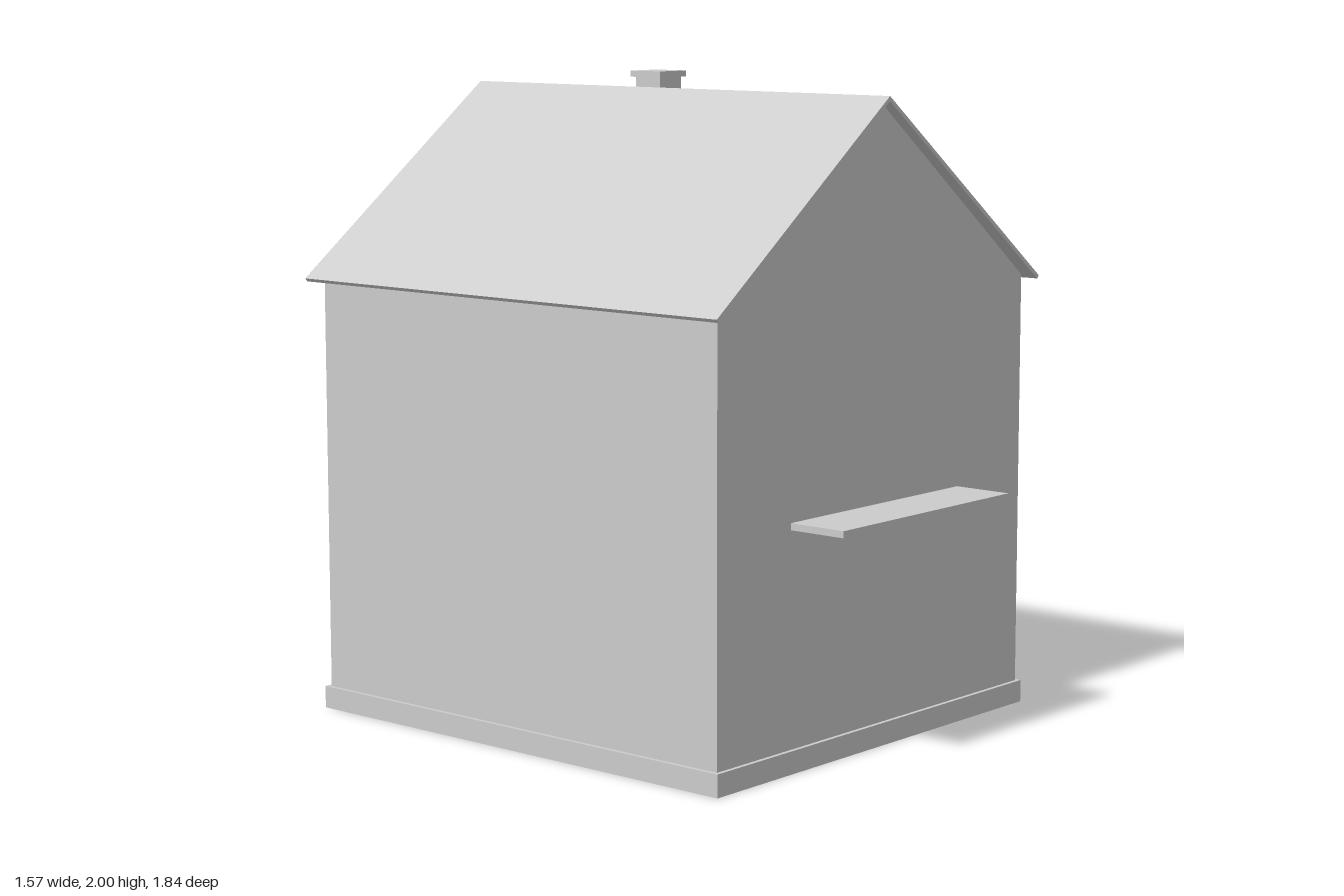
import * as THREE from 'three';

export function createModel() {
  const model = new THREE.Group();
  const plaster = new THREE.MeshStandardMaterial({ color: 0xcccccc });
  plaster.name = 'light grey';

  const add = (name, geometry) => {
    const mesh = new THREE.Mesh(geometry, plaster);
    mesh.name = name;
    model.add(mesh);
  };

  // Box given by its limits on each axis
  const box = (name, [x0, x1], [y0, y1], [z0, z1]) => {
    const g = new THREE.BoxGeometry(x1 - x0, y1 - y0, z1 - z0);
    g.translate((x0 + x1) / 2, (y0 + y1) / 2, (z0 + z1) / 2);
    add(name, g);
  };

  // Outline in x and y, extruded from z0 to z1
  const prism = (name, points, z0, z1) => {
    const shape = new THREE.Shape(points.map(([x, y]) => new THREE.Vector2(x, y)));
    const g = new THREE.ExtrudeGeometry(shape, { depth: z1 - z0, bevelEnabled: false });
    g.translate(0, 0, z0);
    add(name, g);
  };

  // Plinth and gabled walls
  box('plinth', [-0.755, 0.755], [0, 0.07], [-0.895, 0.74]);
  prism('walls', [[-0.742, 0.07], [0.742, 0.07], [0.742, 1.38], [0, 1.95], [-0.742, 1.38]], -0.88, 0.727);

  // Two thin roof slopes meeting at the ridge
  for (const [side, s] of [['left', 1], ['right', -1]]) {
    prism(side + 'Roof', [[0, 1.951], [s * 0.779, 1.366], [s * 0.787, 1.376], [0, 1.966]], -0.92, 0.763);
  }

  // Shelf over the entrance
  box('frontCanopy', [-0.41, 0.41], [0.725, 0.746], [0.72, 0.92]);

  // Chimney with a wider cap
  box('chimney', [0.333, 0.438], [1.69, 1.98], [-0.532, -0.427]);
  box('chimneyCap', [0.321, 0.45], [1.98, 2], [-0.545, -0.416]);

  return model;
}
